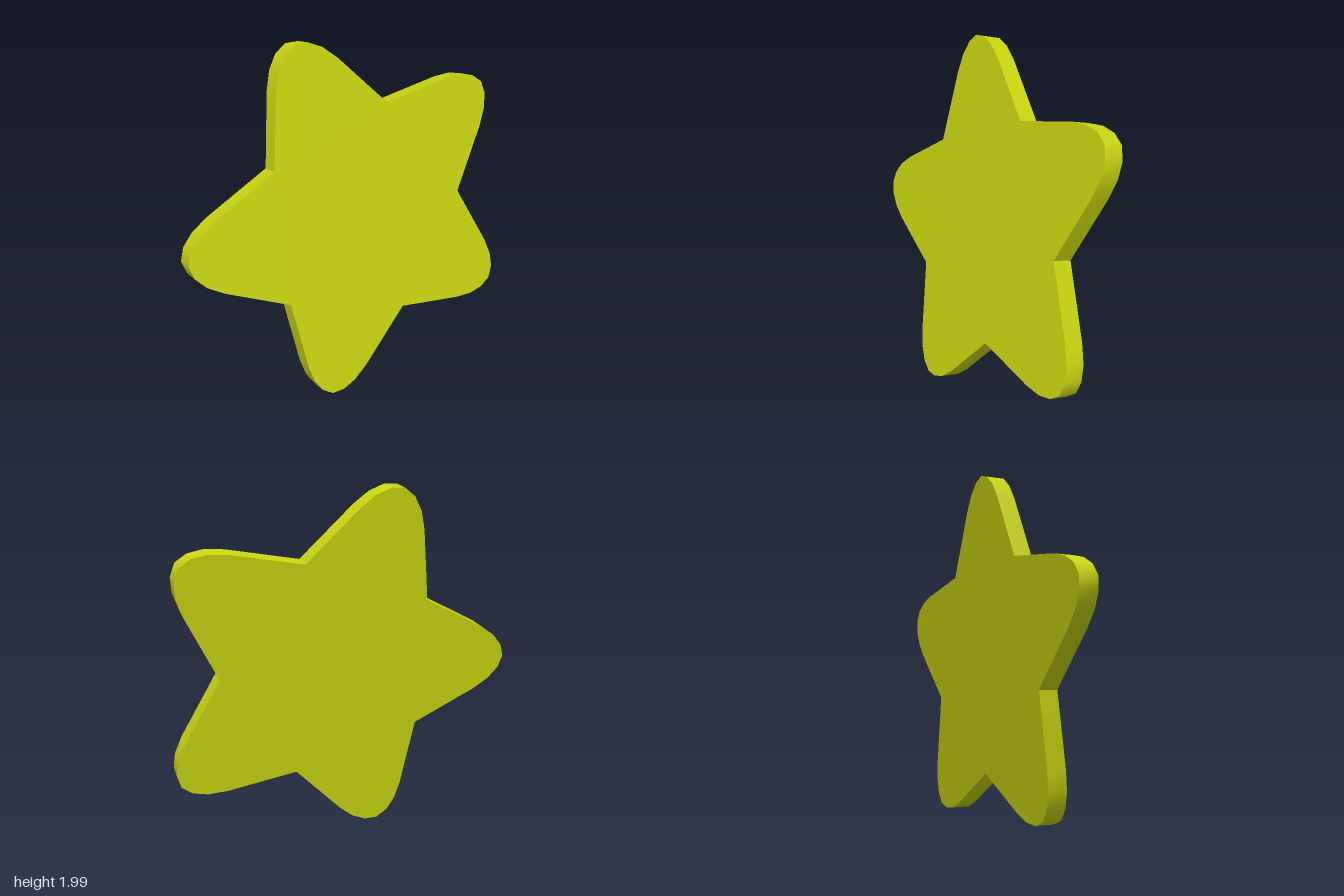
import * as THREE from 'three';
import { toCreasedNormals } from 'three/addons/utils/BufferGeometryUtils.js';

const lime = new THREE.MeshStandardMaterial({ color: 0xc8d410 });
lime.name = 'lime';

const THICKNESS = 0.107;

// One arm, as [distance along the arm, offset across it], from notch to notch
const ARM = [
  [0.52, -0.378], [0.882, -0.197], [0.972, -0.138], [1.03, -0.072],
  [1.053, 0],
  [1.03, 0.072], [0.972, 0.138], [0.882, 0.197],
];

// Five-armed outline with rounded tips
function starShape() {
  const points = [];
  for (let i = 0; i < 5; i++) {
    const angle = Math.PI + (i * 2 * Math.PI) / 5;
    for (const [u, v] of ARM) {
      points.push(new THREE.Vector2(u, v).rotateAround(new THREE.Vector2(), angle));
    }
  }
  return new THREE.Shape(points);
}

export function createModel() {
  const group = new THREE.Group();
  group.name = 'star';

  // Flat plate: front face on the local z = 0 plane, smooth tips, sharp notches
  const plate = new THREE.ExtrudeGeometry(starShape(), { depth: THICKNESS, bevelEnabled: false });
  plate.translate(0, 0, -THICKNESS);
  const star = new THREE.Mesh(toCreasedNormals(plate, 0.75), lime);
  star.name = 'starPlate';

  // Leaning back and turned slightly to its left
  star.position.set(0.082, 1.016, 0.046);
  star.lookAt(star.position.clone().add(new THREE.Vector3(0.1, 0.177, 1)));
  group.add(star);
  return group;
}
